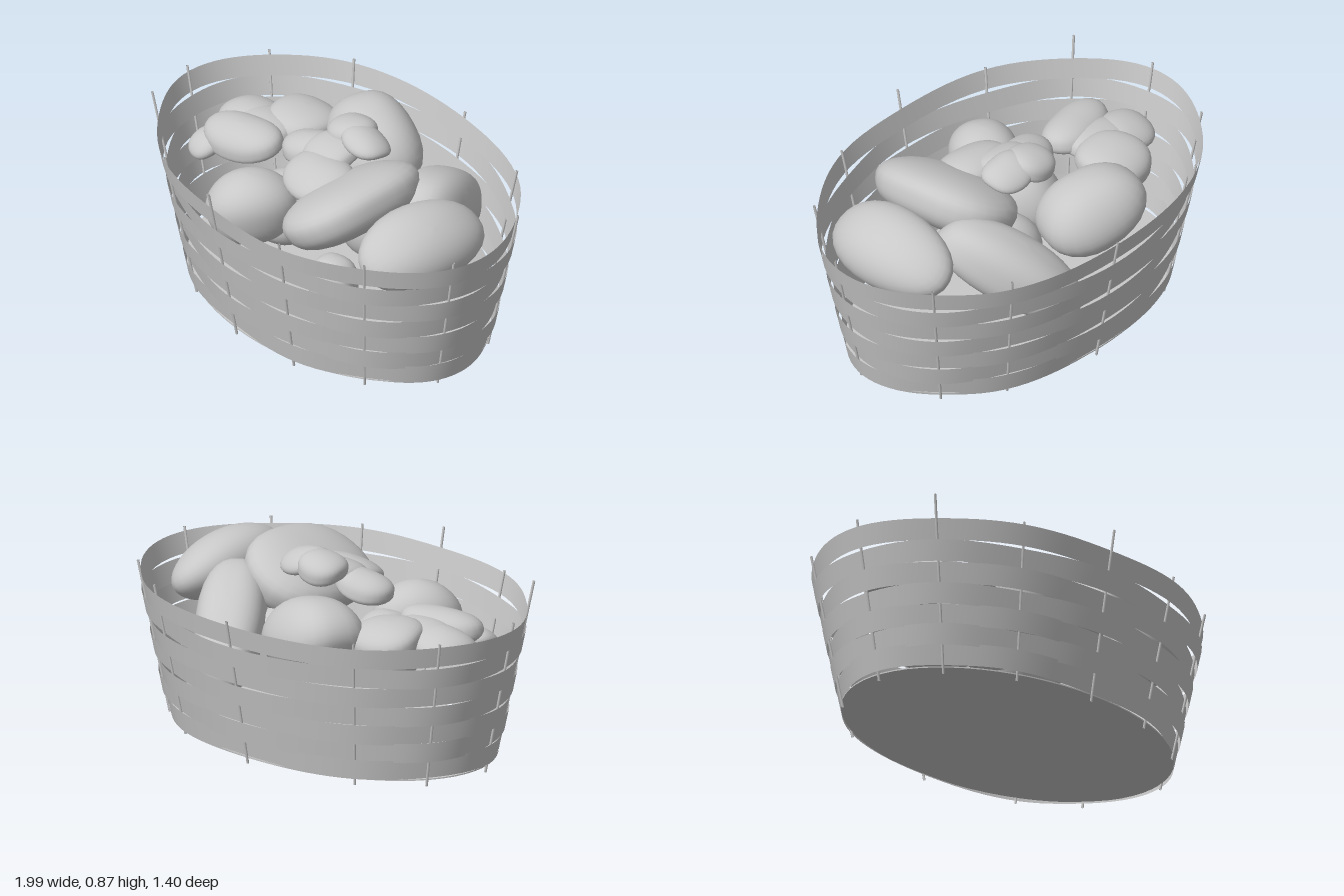
import * as THREE from 'three';

const gray = new THREE.MeshStandardMaterial({ color: 0xc8c8c8, side: THREE.DoubleSide });
gray.name = 'plain gray';

// Stake angles around the oval (degrees) and the height of each stake top
const stakes = [
  [7, 0.70], [38, 0.71], [65, 0.71], [90, 0.78], [117, 0.71], [143, 0.80],
  [171, 0.73], [204, 0.71], [231, 0.71], [270, 0.70], [303, 0.71], [327, 0.70],
];

// Lower edge of each woven band
const bandHeights = [0.033, 0.118, 0.208, 0.299, 0.395, 0.489, 0.589];

// Point on the flared oval wall
function wall(deg, y, offset = 0) {
  const a = THREE.MathUtils.degToRad(deg), t = (y - 0.03) / 0.66;
  return new THREE.Vector3(
    Math.cos(a) * (0.852 + 0.138 * t + offset), y,
    -0.012 + Math.sin(a) * (0.555 + 0.13 * t + offset));
}

// In-and-out offset of a band as it passes the stakes
function weave(deg, band) {
  const n = stakes.length;
  let k = n - 1;
  for (let i = 0; i < n; i++) if (deg >= stakes[i][0]) k = i;
  if (deg < stakes[0][0]) deg += 360;
  const start = stakes[k][0];
  const end = k === n - 1 ? stakes[0][0] + 360 : stakes[k + 1][0];
  const sign = (k + band) % 2 ? -1 : 1;
  return 0.009 * sign * Math.cos(Math.PI * (deg - start) / (end - start));
}

// One flat woven strip running round the basket
function bandGeometry(y0, band) {
  const seg = 96, pos = [], idx = [];
  for (let i = 0; i < seg; i++) {
    const deg = i * 360 / seg, off = weave(deg, band);
    const a = THREE.MathUtils.degToRad(deg);
    const tilt = 0.007 * Math.sin(a) - 0.01 * Math.cos(a);
    for (const h of [0, 0.096]) {
      const p = wall(deg, y0 + h, off);
      pos.push(p.x, p.y + tilt, p.z);
    }
    const j = 2 * i, k = 2 * ((i + 1) % seg);
    idx.push(j, j + 1, k, k, j + 1, k + 1);
  }
  const g = new THREE.BufferGeometry();
  g.setAttribute('position', new THREE.Float32BufferAttribute(pos, 3));
  g.setIndex(idx);
  g.computeVertexNormals();
  return g;
}

// Soft irregular lump with full corners; bend curls its long (z) ends downward
function lumpGeometry(rx, ry, rz, seed, bend = 0.15) {
  const cols = 28, rows = 20;
  const g = new THREE.SphereGeometry(1, cols, rows);
  const p = g.attributes.position, v = new THREE.Vector3();
  for (let i = 0; i < p.count; i++) {
    v.fromBufferAttribute(p, i);
    const full = Math.pow(Math.abs(v.x) ** 2.3 + Math.abs(v.y) ** 2.3 + Math.abs(v.z) ** 2.3, -1 / 2.3);
    const s = full * (1 + 0.035 * Math.sin(2.3 * v.x + seed) + 0.035 * Math.sin(3.4 * v.z + 1.7 * seed)
      + 0.03 * Math.sin(4.1 * v.y + 2.3 * seed));
    const z = v.z;
    v.multiplyScalar(s);
    p.setXYZ(i, v.x * rx, v.y * ry - bend * ry * z * z, v.z * rz);
  }
  g.computeVertexNormals();
  // Share normals across the sphere seam
  const n = g.attributes.normal, w = new THREE.Vector3();
  for (let r = 0; r <= rows; r++) {
    const a = r * (cols + 1), b = a + cols;
    v.fromBufferAttribute(n, a).add(w.fromBufferAttribute(n, b)).normalize();
    n.setXYZ(a, v.x, v.y, v.z);
    n.setXYZ(b, v.x, v.y, v.z);
  }
  return g;
}

export function createModel() {
  const model = new THREE.Group();
  model.name = 'basketOfFood';
  const add = (name, geometry, parent = model) => {
    const m = new THREE.Mesh(geometry, gray);
    m.name = name;
    parent.add(m);
    return m;
  };
  const addGroup = (name) => {
    const group = new THREE.Group();
    group.name = name;
    model.add(group);
    return group;
  };

  // Woven bands
  const bands = addGroup('wovenBands');
  bandHeights.forEach((y, b) => add('band', bandGeometry(y, b), bands));

  // Upright stakes
  const frame = addGroup('stakes');
  for (const [deg, top] of stakes) {
    const path = new THREE.LineCurve3(wall(deg, 0.003), wall(deg, top));
    add('stake', new THREE.TubeGeometry(path, 1, 0.006, 6), frame);
  }

  // Oval floor
  const floor = add('floor', new THREE.CylinderGeometry(1, 1, 0.006, 64));
  floor.scale.set(0.85, 1, 0.553);
  floor.position.set(0, 0.034, -0.012);

  // Rounded loaves: name, position, radii, rotation
  const loaves = [
    ['rightLoaf', [0.675, 0.63, 0.025], [0.18, 0.14, 0.315], [0, 0.04, -0.65]],
    ['centerLoaf', [0.28, 0.665, 0.11], [0.25, 0.13, 0.325], [0.06, 0.12, 0.5]],
    ['backRightLoaf', [0.31, 0.53, -0.35], [0.15, 0.145, 0.39], [-0.52, 0.64, 0]],
    ['backLeftLoaf', [-0.19, 0.60, -0.335], [0.25, 0.17, 0.19], [0.1, -0.3, -0.3]],
    ['frontLoaf', [-0.18, 0.50, 0.33], [0.15, 0.16, 0.20], [0.1, -0.5, 0]],
    ['smallFrontLoaf', [0.43, 0.42, 0.32], [0.11, 0.12, 0.10], [0, 0.4, 0]],
    ['lowerLoaf', [-0.20, 0.42, 0.12], [0.15, 0.16, 0.20], [0, 0.5, 0]],
    ['lowerLoaf', [0.15, 0.44, -0.12], [0.17, 0.16, 0.16], [0, 0.2, 0]],
  ];
  loaves.forEach(([name, at, r, rot], i) => {
    const m = add(name, lumpGeometry(...r, i * 1.9 + 0.6));
    m.position.set(...at);
    m.rotation.set(...rot, 'YXZ');
  });

  // Curled, lobed pieces, each made of flattened overlapping lumps
  const clusters = {
    centerLobes: [
      [[-0.03, 0.815, -0.11], [0.11, 0.055, 0.11], [-0.1, 0, 0.2]],
      [[0.10, 0.815, -0.10], [0.11, 0.05, 0.10], [-0.2, 0, -0.2]],
      [[-0.15, 0.72, 0.03], [0.13, 0.06, 0.12], [0, 0.3, 0.25]],
      [[0.06, 0.72, 0.15], [0.16, 0.06, 0.14], [0.25, 0, 0]],
      [[-0.01, 0.76, 0.02], [0.13, 0.05, 0.13], [0.3, 0, 0]],
    ],
    leftLobes: [
      [[-0.48, 0.615, -0.17], [0.165, 0.07, 0.165], [-0.15, 0.2, 0]],
      [[-0.68, 0.60, -0.03], [0.13, 0.06, 0.13], [0, 0, 0.2]],
      [[-0.53, 0.61, 0.12], [0.19, 0.07, 0.14], [0.2, 0.3, 0]],
      [[-0.66, 0.55, 0.22], [0.08, 0.05, 0.09], [0.3, 0, 0]],
      [[-0.54, 0.61, -0.02], [0.15, 0.055, 0.13], [0, 0, 0]],
    ],
  };
  for (const [name, lobes] of Object.entries(clusters)) {
    const group = addGroup(name);
    lobes.forEach(([at, r, rot], i) => {
      const m = add('lobe', lumpGeometry(...r, i * 1.3 + 2, 0.4), group);
      m.position.set(...at);
      m.rotation.set(...rot);
    });
  }
  return model;
}
